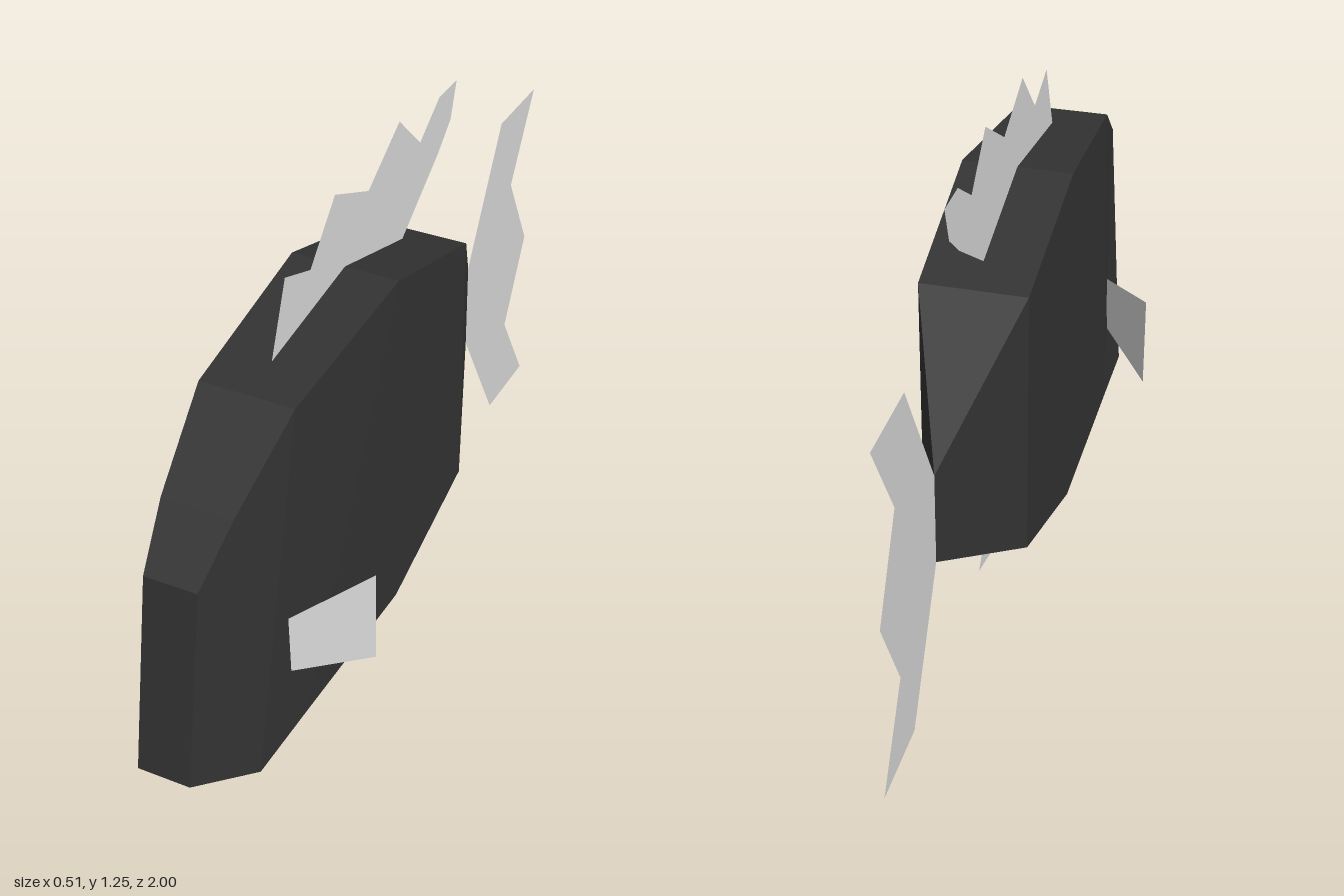
import * as THREE from 'three';

const bodyMat = new THREE.MeshStandardMaterial({ name: 'charcoal', color: 0x333333, flatShading: true });
const finMat = new THREE.MeshStandardMaterial({ name: 'paleGrey', color: 0xd9d9d9, flatShading: true, side: THREE.DoubleSide });

// Upright flat fin on the centre plane, outlined by [z, y] points
function centreFin(name, outline) {
  const shape = new THREE.Shape(outline.map(([z, y]) => new THREE.Vector2(z, y)));
  const mesh = new THREE.Mesh(new THREE.ShapeGeometry(shape).rotateY(-Math.PI / 2), finMat);
  mesh.name = name;
  return mesh;
}

// Geometry from a list of four-cornered faces
function quads(faces) {
  const pos = [];
  for (const [a, b, c, d] of faces) pos.push(...a, ...b, ...c, ...a, ...c, ...d);
  const geo = new THREE.BufferGeometry();
  geo.setAttribute('position', new THREE.Float32BufferAttribute(pos, 3));
  geo.computeVertexNormals();
  return geo;
}

// Faceted body lofted through four-cornered sections from nose to tail root
function createBody() {
  // top z, top y, top half width, bottom z, bottom y, bottom half width
  const sections = [
    [0.92, 0.695, 0.065, 1.0, 0.21, 0.065],
    [0.80, 0.81, 0.087, 0.80, 0.10, 0.125],
    [0.58, 0.957, 0.116, 0.58, 0.099, 0.128],
    [0.12, 1.017, 0.135, 0.12, 0.095, 0.135],
    [-0.27, 0.90, 0.128, -0.27, 0.21, 0.128],
    [-0.59, 0.615, 0, -0.59, 0.38, 0],
  ];
  const rings = sections.map(([zt, yt, wt, zb, yb, wb]) =>
    [[wt, yt, zt], [-wt, yt, zt], [-wb, yb, zb], [wb, yb, zb]]);
  const faces = [rings[0]];
  for (let i = 0; i < rings.length - 1; i++) {
    const a = rings[i], b = rings[i + 1];
    for (let j = 0; j < 4; j++) {
      const k = (j + 1) % 4;
      faces.push([a[j], b[j], b[k], a[k]]);
    }
  }
  const mesh = new THREE.Mesh(quads(faces), bodyMat);
  mesh.name = 'body';
  return mesh;
}

export function createModel() {
  const fish = new THREE.Group();
  fish.name = 'fish';
  fish.add(createBody());

  // Jagged back fin, its root sunk into the body
  fish.add(centreFin('dorsalFin', [
    [0.48, 0.94], [0.40, 1.145], [0.285, 1.10], [0.165, 1.225], [0, 1.15], [-0.16, 1.25],
    [-0.275, 1.14], [-0.38, 1.21], [-0.48, 1.21], [-0.45, 1.12], [-0.38, 1.06], [-0.18, 0.925],
  ]));

  fish.add(centreFin('tailFin', [
    [-0.59, 0.615], [-0.78, 0.95], [-1, 0.95], [-0.865, 0.725], [-0.985, 0.50],
    [-0.865, 0.275], [-1, 0.05], [-0.78, 0.05], [-0.59, 0.38],
  ]));

  fish.add(centreFin('bellyFin', [[0.25, 0.11], [0.17, 0], [-0.24, 0.09], [-0.16, 0.19]]));

  // Side fins spreading backwards
  for (const s of [1, -1]) {
    const fin = new THREE.Mesh(quads([[
      [s * 0.113, 0.43, 0.66], [s * 0.255, 0.48, 0.48], [s * 0.255, 0.235, 0.48], [s * 0.113, 0.28, 0.66],
    ]]), finMat);
    fin.name = s > 0 ? 'leftSideFin' : 'rightSideFin';
    fish.add(fin);
  }
  return fish;
}
